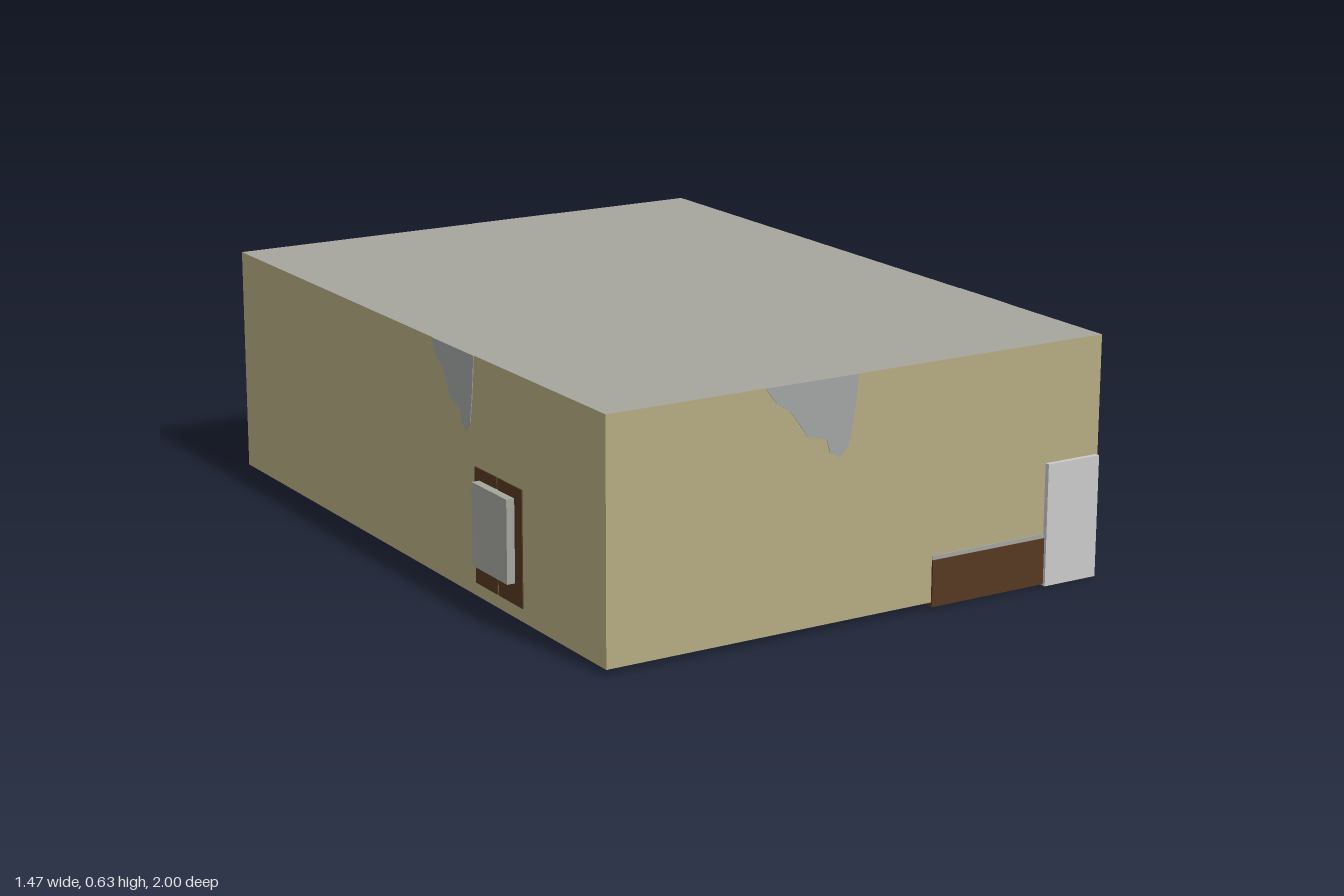
import * as THREE from 'three';

export function createModel() {
  const model = new THREE.Group();
  model.name = 'building';
  const paint = (name, color) => {
    const m = new THREE.MeshStandardMaterial({ color });
    m.name = name;
    return m;
  };
  const plaster = paint('tan plaster', 0xb5ab82);
  const concrete = paint('grey concrete', 0xa5a59e);
  const stainGrey = paint('bare wall grey', 0xa2a5a3);
  const doorGrey = paint('light door grey', 0xcacaca);
  const brown = paint('dark brown', 0x553820);

  // Box given by its minimum and maximum corners
  function box(name, min, max, material) {
    const s = max.map((v, i) => v - min[i]);
    const mesh = new THREE.Mesh(new THREE.BoxGeometry(...s), material);
    mesh.position.set(...max.map((v, i) => (v + min[i]) / 2));
    mesh.name = name;
    model.add(mesh);
    return mesh;
  }

  // Thin plate cut to an outline
  function plate(name, points, material) {
    const shape = new THREE.Shape(points.map(p => new THREE.Vector2(...p)));
    const geo = new THREE.ExtrudeGeometry(shape, { depth: 0.002, bevelEnabled: false });
    const mesh = new THREE.Mesh(geo, material);
    mesh.name = name;
    model.add(mesh);
    return mesh;
  }

  const [x0, x1, y0, y1, z0, z1] = [-0.71, 0.73, 0.015, 0.63, -0.995, 0.987];

  // Main block: plaster walls, concrete roof and underside
  box('walls', [x0, y0, z0], [x1, y1, z1],
    [plaster, plaster, concrete, concrete, plaster, plaster]);

  // Front door block, low brown panel beside it and its capping
  box('frontDoor', [0.565, 0, 0.82], [0.725, 0.32, 1], doorGrey);
  box('frontPanel', [0.22, 0.004, 0.86], [0.565, 0.125, 0.992], brown);
  box('panelCap', [0.22, 0.125, 0.86], [0.565, 0.136, 0.99], concrete);

  // Back door
  box('backDoor', [0.47, 0.01, -1], [0.68, 0.33, -0.975], stainGrey);

  // Side window: two dark panes with a box unit mounted over them
  box('windowPane', [x0 - 0.003, 0.05, 0.36], [x0 + 0.01, 0.35, 0.471], brown);
  box('windowPane', [x0 - 0.003, 0.05, 0.477], [x0 + 0.01, 0.35, 0.595], brown);
  box('wallUnit', [-0.735, 0.105, 0.385], [x0, 0.32, 0.56], concrete);

  // Ragged bare patches hanging from the top of each wall (u across, y height)
  const ragged = [
    [0, 0.63], [0.11, 0.59], [0.26, 0.565], [0.36, 0.53], [0.45, 0.495], [0.66, 0.48],
    [0.70, 0.445], [0.80, 0.43], [0.90, 0.455], [0.95, 0.52], [0.98, 0.58], [1, 0.63],
  ];
  const patches = [
    // left edge, width, turn about y, distance of the wall from the centre
    [-0.275, 0.265, 0, z1],
    [-0.605, 0.21, Math.PI / 2, x1],
    [-0.29, 0.265, Math.PI, -z0],
    [0.14, 0.22, -Math.PI / 2, -x0],
  ];
  for (const [left, width, turn, distance] of patches) {
    const outline = ragged.map(([u, y]) => [left + u * width, y]).reverse();
    const mesh = plate('barePatch', outline, stainGrey);
    mesh.rotation.y = turn;
    mesh.position.set(Math.sin(turn) * distance, 0, Math.cos(turn) * distance);
  }

  // Dark hollow on the underside (x, z outline)
  const hollow = plate('undersidePatch', [
    [-0.495, -0.50], [-0.47, -0.61], [-0.43, -0.80], [-0.495, -0.88],
    [-0.576, -0.894], [-0.63, -0.81], [-0.616, -0.516],
  ], brown);
  hollow.rotation.x = Math.PI / 2;
  hollow.position.y = y0;

  return model;
}
